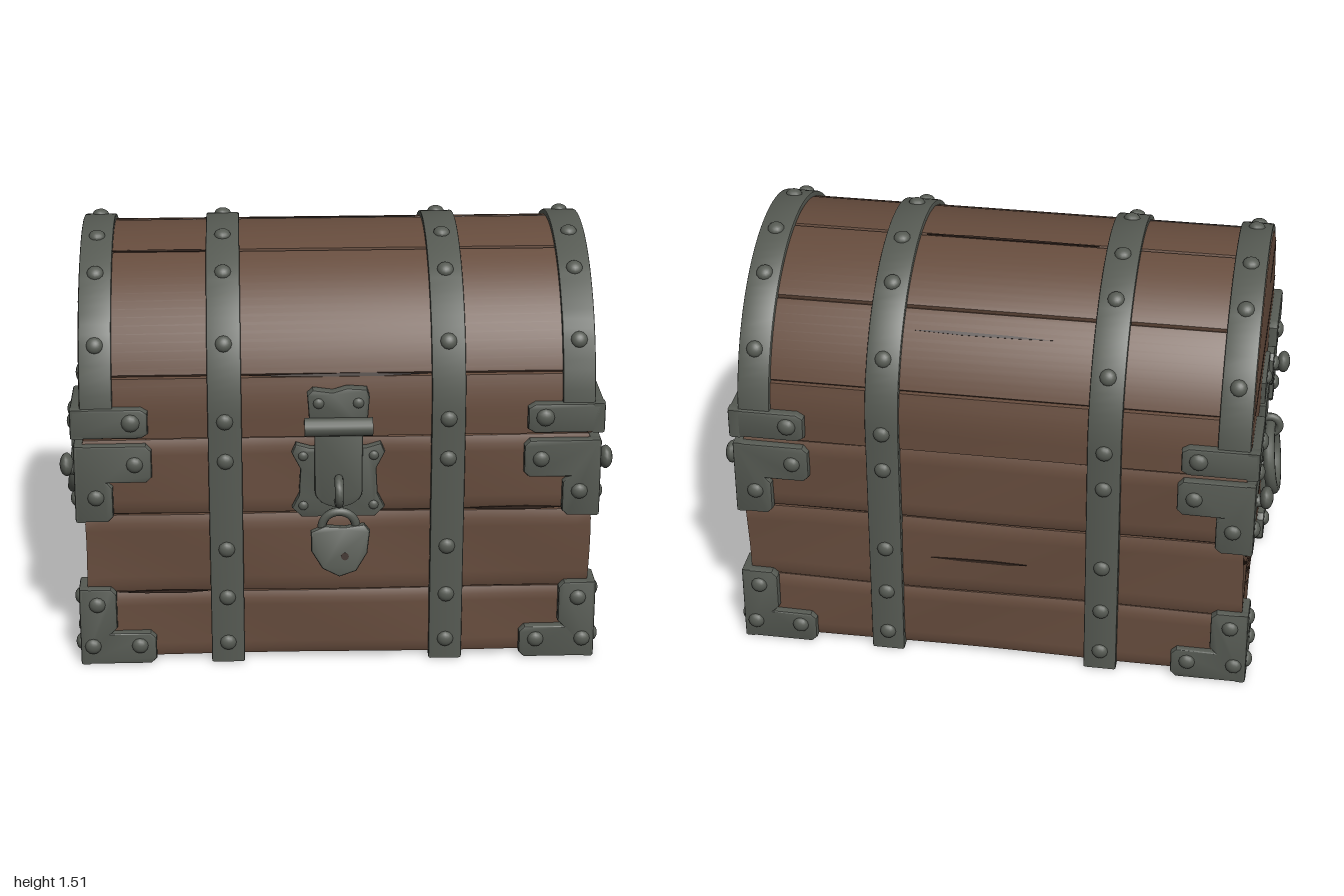
import * as THREE from 'three';
import { toCreasedNormals } from 'three/addons/utils/BufferGeometryUtils.js';

const CZ = -0.045, HX = 0.91, HD = 0.565;    // chest centre in z, half width, half depth
const LID_Y = 0.94, LID_H = 0.55;            // spring line and rise of the lid arch

export function createModel() {
  const chest = new THREE.Group();
  chest.name = 'treasureChest';
  const wood = new THREE.MeshStandardMaterial({ name: 'brownWood', color: 0x664c3d });
  const iron = new THREE.MeshStandardMaterial({ name: 'greyIron', color: 0x565a53 });
  const dark = new THREE.MeshStandardMaterial({ name: 'darkGap', color: 0x33251e });

  function add(name, geo, mat, pos = [0, 0, 0], rot = [0, 0, 0], parent = chest) {
    const mesh = new THREE.Mesh(geo, mat);
    mesh.name = name;
    mesh.position.set(...pos);
    mesh.rotation.set(...rot);
    parent.add(mesh);
    return mesh;
  }

  // Extruded outline centred on its depth; axis is the direction of the depth
  function prism(points, depth, axis, bevel = 0, hole = null) {
    const toV = (p) => new THREE.Vector2(p[0], p[1]);
    const shape = new THREE.Shape(points.map(toV));
    if (hole) shape.holes.push(new THREE.Path(hole.map(toV)));
    const core = depth - 2 * bevel;
    let g = new THREE.ExtrudeGeometry(shape, {
      depth: core, bevelEnabled: bevel > 0, bevelSize: bevel,
      bevelThickness: bevel, bevelOffset: -bevel, bevelSegments: 2, curveSegments: 12,
    });
    g.translate(0, 0, -core / 2);
    if (axis === 'x') g.rotateY(-Math.PI / 2);   // outline x becomes world z
    if (axis === 'y') g.rotateX(Math.PI / 2);    // outline y becomes world z
    return toCreasedNormals(g, 0.6);
  }

  const arch = (t, o = 0) => [CZ + (HD + o) * Math.cos(t), LID_Y + (LID_H + o) * Math.sin(t)];
  function archPoints(o, t0 = 0, t1 = Math.PI, n = 48) {
    return Array.from({ length: n + 1 }, (_, i) => arch(t0 + (t1 - t0) * i / n, o));
  }
  const outline = (o) => [[CZ - HD - o, 0.02 - o], [CZ + HD + o, 0.02 - o], ...archPoints(o)];

  // Domed rivet pointing along dir
  function rivet(pos, dir, r = 0.03, h = 0.7) {
    const g = new THREE.SphereGeometry(r, 12, 6, 0, Math.PI * 2, 0, Math.PI / 2);
    g.scale(1, h, 1);
    const m = add('rivet', g, iron, pos);
    m.quaternion.setFromUnitVectors(new THREE.Vector3(0, 1, 0), new THREE.Vector3(...dir).normalize());
  }

  // Slightly uneven wooden plank courses around a dark core
  add('innerCore', new THREE.BoxGeometry(2 * HX - 0.05, 0.85, 2 * HD - 0.05), dark, [0, 0.465, CZ]);
  [[0.02, 0.272], [0.276, 0.577], [0.583, 0.866]].forEach(([y0, y1], k) => {
    const h = y1 - y0;
    const g = new THREE.BoxGeometry(2 * HX, h, 2 * HD, 36, 10, 24);
    const p = g.attributes.position;
    for (let i = 0; i < p.count; i++) {
      const x = p.getX(i), y = p.getY(i), z = p.getZ(i);
      const edge = Math.abs(y) > h * 0.49 ? 0.01 : 0;
      const wave = 0.004 * Math.sin(5 * x + 7 * z + 2 * k + 9 * y);
      const inset = edge + 0.004 + wave;
      p.setX(i, x - x / HX * inset);
      p.setZ(i, z - z / HD * inset);
      if (k === 0 && y < -h * 0.49) p.setY(i, y + 0.018 * (1 - (z / HD) ** 2) * (x / HX) ** 2);
    }
    add('plankCourse', toCreasedNormals(g, 0.5), wood, [0, (y0 + y1) / 2, CZ]);
  });

  // Arched lid with grooves between the staves
  const seams = [0.29, 1.2, 1.72, 2.3, 2.85];
  const stops = Array.from({ length: 57 }, (_, i) => [Math.PI * i / 56, 0])
    .filter(([t]) => seams.every((s) => Math.abs(s - t) > 0.025));
  seams.forEach((s) => stops.push([s - 0.012, 0], [s, -0.014], [s + 0.012, 0]));
  stops.sort((a, b) => a[0] - b[0]);
  add('lid', prism([[CZ - HD, 0.875], [CZ + HD, 0.875], ...stops.map(([t, o]) => arch(t, o))],
    2 * HX, 'x', 0.012), wood);

  // Dark cracks in the boards, as thin tapered slivers
  function crack(len, pos, rot = [0, 0, 0]) {
    const l = len / 2;
    add('crack', prism([[-l, 0], [-l * 0.4, -0.005], [l * 0.5, -0.006], [l, 0.001], [l * 0.3, 0.006], [-l * 0.5, 0.004]],
      0.006, 'z'), dark, pos, rot);
  }
  const onArch = (len, x, t) => crack(len, [x, arch(t)[1], arch(t)[0]], [-t, 0, 0]);
  onArch(0.64, 0, 0.29);
  onArch(0.62, 0, 1.72);
  onArch(0.4, -0.6, 1.2);
  onArch(0.5, 0.05, 2.45);
  crack(0.32, [-0.63, 0.28, CZ + HD]);
  crack(0.35, [0.62, 0.59, CZ + HD]);
  crack(0.35, [0.05, 0.42, CZ - HD], [0, Math.PI, 0]);
  for (const s of [-1, 1]) {
    crack(1.02, [s * HX, 1.1, CZ], [0, s * Math.PI / 2, 0]);
    crack(0.26, [s * HX, 1.3, CZ + 0.25], [0, s * Math.PI / 2, 0.15]);
  }

  // Two full straps around the chest, two arched straps at the lid ends
  for (const x of [-0.4, 0.39]) {
    add('strap', prism(outline(0.018), 0.12, 'x', 0.006, outline(-0.02)), iron, [x, 0, 0]);
    for (const y of [0.08, 0.26, 0.45, 0.79, 0.94]) {
      for (const s of [-1, 1]) rivet([x, y, CZ + s * (HD + 0.016)], [0, 0, s]);
    }
  }
  for (const s of [-1, 1]) {
    const band = [...archPoints(0.018, 0.05, Math.PI - 0.05), ...archPoints(-0.02, 0.05, Math.PI - 0.05).reverse()];
    add('lidEndStrap', prism(band, 0.115, 'x', 0.006), iron, [s * 0.85, 0, 0]);
  }
  for (const x of [-0.85, -0.4, 0.39, 0.85]) {
    for (const t of [0.49, 0.98, 1.33, 1.81, 2.16, 2.65]) {
      const [z, y] = arch(t, 0.016);
      rivet([x, y, z], [0, Math.sin(t), Math.cos(t)]);
    }
  }

  // Corner ironwork: L plates on both faces of every corner
  const ell = (c, s, e, arm, v, y0, ya, yEnd) => {
    const k = Math.sign(yEnd - y0) * 0.02;
    return [[e, y0], [arm + 0.02, y0], [arm, y0 + k], [arm, ya - k], [arm + 0.02, ya], [v + 0.02, ya],
      [v, ya + k], [v, yEnd - k], [v + 0.02, yEnd], [e, yEnd]].map(([u, y]) => [c + s * u, y]);
  };
  for (const sx of [-1, 1]) for (const sz of [-1, 1]) {
    const fz = CZ + sz * (HD + 0.004), fx = sx * (HX + 0.005);
    for (const [name, y0, ya, yEnd] of [['baseCorner', 0.002, 0.125, 0.3], ['rimCorner', 0.855, 0.715, 0.565]]) {
      add(name, prism(ell(0, sx, 0.93, 0.66, 0.8, y0, ya, yEnd), 0.04, 'z', 0.008), iron, [0, 0, fz]);
      add(name, prism(ell(CZ, sz, 0.587, 0.32, 0.455, y0, ya, yEnd), 0.04, 'x', 0.008), iron, [fx, 0, 0]);
    }
    const lx = (u) => sx * u, lz = (u) => CZ + sz * u;
    const strip = (f, a, b) => [[f(a), 0.9], [f(a), 0.98], [f(a + 0.025), 0.995], [f(b), 0.995], [f(b), 0.885], [f(a + 0.025), 0.885]];
    add('lidCorner', prism(strip(lx, 0.67, 0.942), 0.05, 'z', 0.01), iron, [0, 0, fz]);
    add('lidCorner', prism(strip(lz, 0.315, 0.594), 0.05, 'x', 0.01), iron, [sx * (HX + 0.008), 0, 0]);
    add('baseCornerSole', prism([[lx(0.925), lz(0.58)], [lx(0.68), lz(0.58)], [lx(0.925), lz(0.34)]], 0.018, 'y'),
      iron, [0, 0.011, 0]);

    const front = [[0.87, 0.24], [0.72, 0.075], [0.89, 0.075], [0.72, 0.785], [0.86, 0.66]];
    front.forEach(([x, y]) => rivet([sx * x, y, fz + sz * 0.018], [0, 0, sz]));
    rivet([sx * 0.73, 0.945, fz + sz * 0.023], [0, 0, sz], 0.033);
    const side = [[0.5, 0.24], [0.39, 0.07], [0.53, 0.07], [0.385, 0.79], [0.51, 0.63]];
    side.forEach(([z, y]) => rivet([fx + sx * 0.018, y, lz(z)], [sx, 0, 0]));
    rivet([sx * 0.938, 0.93, lz(0.4)], [sx, 0, 0], 0.033);
    // Round knob standing off the side bracket
    add('sideKnobStem', new THREE.CylinderGeometry(0.02, 0.03, 0.05, 10), iron, [sx * 0.94, 0.73, lz(0.475)], [0, 0, -sx * Math.PI / 2]);
    add('sideKnob', new THREE.SphereGeometry(0.042, 12, 8).scale(0.6, 1, 1), iron, [sx * 0.967, 0.745, lz(0.475)]);
  }

  // Half-round-ended tongue outline
  const tongue = (c, w, top, bottom) => [[c - w, top], ...Array.from({ length: 13 }, (_, i) => {
    const a = Math.PI + Math.PI * i / 12;
    return [c + w * Math.cos(a), bottom + w * 0.75 + w * 0.75 * Math.sin(a)];
  }), [c + w, top]];

  // Ring handles on both ends
  for (const s of [-1, 1]) {
    const handle = new THREE.Group();
    handle.name = 'sideHandle';
    chest.add(handle);
    const c = -0.02;
    const ragged = [[c - 0.11, 0.89], [c - 0.115, 0.98], [c - 0.06, 0.995], [c + 0.1, 0.99], [c + 0.115, 0.96], [c + 0.1, 0.89]];
    add('handleTopPlate', prism(ragged, 0.03, 'x', 0.005), iron, [s * 0.912, 0, 0], [0, 0, 0], handle);
    add('handlePlate', prism(tongue(c, 0.1, 0.875, 0.59), 0.036, 'x', 0.007), iron, [s * 0.914, 0, 0], [0, 0, 0], handle);
    add('handleStaple', new THREE.TorusGeometry(0.036, 0.015, 8, 18), iron, [s * 0.945, 0.735, c], [0, 0, 0], handle);
    add('handleRing', new THREE.TorusGeometry(0.122, 0.022, 10, 36).rotateY(Math.PI / 2), iron,
      [s * 0.961, 0.6, c], [0, 0, s * 0.13], handle);
    rivet([s * 0.925, 0.94, c], [s, 0, 0], 0.026);
  }

  // Front lock: hasp on the lid, waisted plate on the body
  const lock = new THREE.Group();
  lock.name = 'frontLock';
  chest.add(lock);
  add('haspPlate', prism([[-0.1, 0.9], [-0.11, 1.04], [-0.09, 1.06], [-0.02, 1.05], [0.03, 1.065], [0.1, 1.06], [0.11, 1.03], [0.1, 0.9]],
    0.045, 'z', 0.008), iron, [0, 0, 0.528], [0, 0, 0], lock);
  add('haspHinge', new THREE.CylinderGeometry(0.033, 0.033, 0.24, 14), iron, [0, 0.925, 0.56], [0, 0, Math.PI / 2], lock);
  const half = [[0.13, 0.575], [0.165, 0.61], [0.14, 0.66], [0.135, 0.76], [0.165, 0.82], [0.15, 0.855], [0.1, 0.84]];
  add('lockPlate', prism([...half, ...half.map(([x, y]) => [-x, y]).reverse()], 0.035, 'z', 0.007), iron, [0, 0, 0.528], [0, 0, 0], lock);
  add('haspTongue', prism(tongue(0, 0.085, 0.92, 0.62), 0.03, 'z', 0.007), iron, [0, 0, 0.553], [0, 0, 0], lock);
  add('lockStaple', new THREE.TorusGeometry(0.045, 0.016, 8, 20).rotateY(Math.PI / 2), iron, [0, 0.69, 0.585], [0, 0, 0], lock);
  for (const x of [-0.07, 0.07]) rivet([x, 1.01, 0.548], [0, 0, 1], 0.02);
  for (const x of [-0.125, 0.125]) for (const y of [0.62, 0.81]) rivet([x, y, 0.543], [0, 0, 1], 0.018);

  // Hanging padlock, tilted out at the bottom
  const padlock = new THREE.Group();
  padlock.name = 'padlock';
  padlock.position.set(0, 0.57, 0.582);
  padlock.rotation.x = -0.2;
  lock.add(padlock);
  add('padlockBody', prism([[-0.1, -0.03], [-0.1, -0.1], [-0.06, -0.165], [0, -0.195], [0.06, -0.175], [0.1, -0.11],
    [0.11, -0.03], [0.09, -0.005], [0.02, -0.015], [-0.05, -0.01]], 0.045, 'z', 0.009), iron, [0, 0, 0], [0, 0, 0], padlock);
  add('shackle', new THREE.TorusGeometry(0.06, 0.016, 8, 20, Math.PI), iron, [0, -0.015, 0], [0.3, 0, 0], padlock);
  add('keyhole', new THREE.CylinderGeometry(0.014, 0.014, 0.006, 12), dark, [0.02, -0.12, 0.022], [Math.PI / 2, 0, 0], padlock);

  return chest;
}
